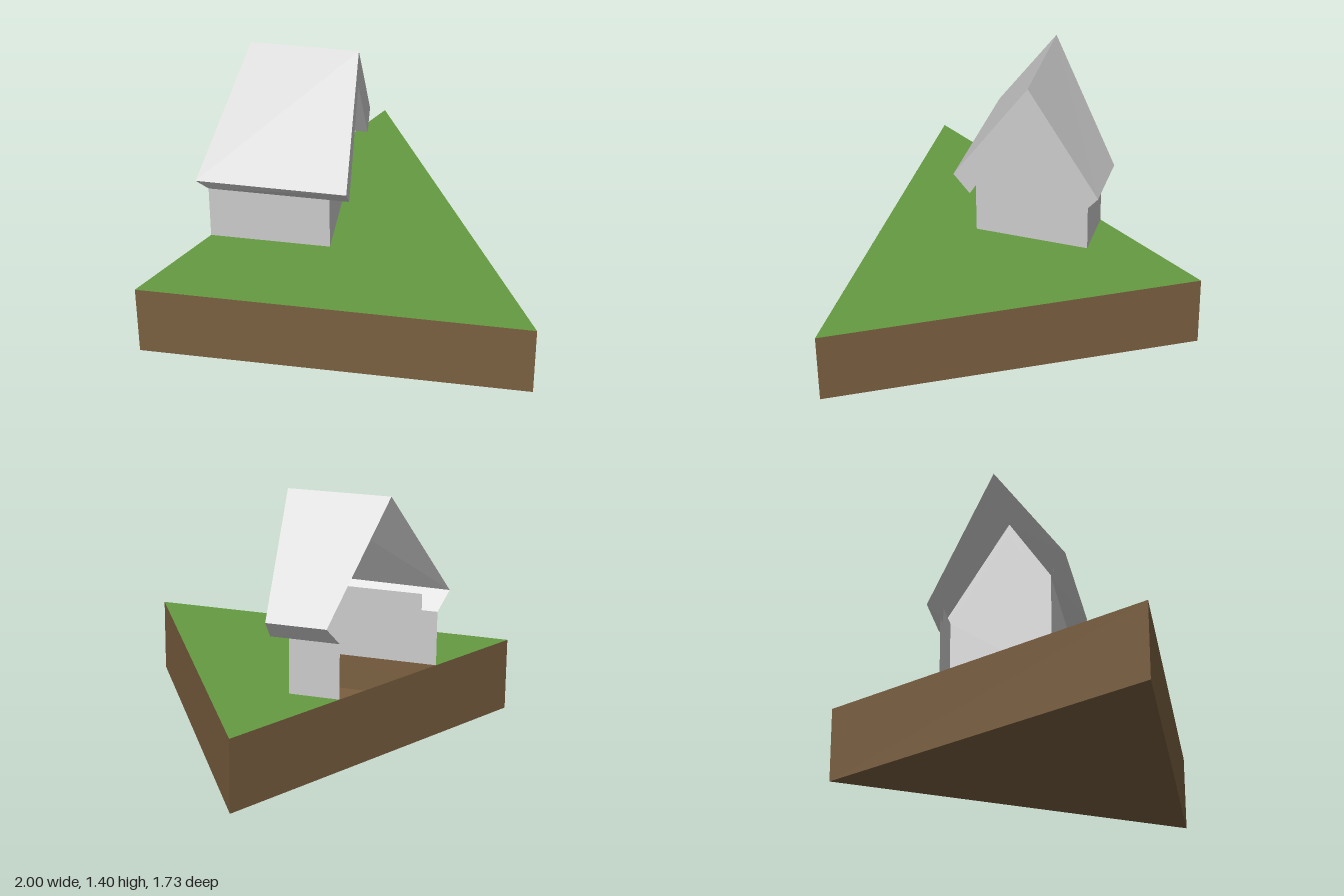
import * as THREE from 'three';

const FRONT = 0.38, BACK = -0.23, END = -0.1; // house footprint
const GROUND = 0.4, SOFFIT = 0.7, WALL_TOP = 0.79;

// x of the slanted side of the triangular plot, where the house is sliced open
const cutX = (z) => -(z + 0.866) / Math.sqrt(3);

const material = (color) =>
  new THREE.MeshStandardMaterial({ color, flatShading: true, side: THREE.DoubleSide });

// Flat convex polygons, each given as a loop of [x, y, z] corners
function faces(loops) {
  const pos = [];
  for (const loop of loops)
    for (let i = 1; i < loop.length - 1; i++) pos.push(...loop[0], ...loop[i], ...loop[i + 1]);
  const geometry = new THREE.BufferGeometry();
  geometry.setAttribute('position', new THREE.Float32BufferAttribute(pos, 3));
  geometry.computeVertexNormals();
  return geometry;
}

export function createModel() {
  const group = new THREE.Group();
  const grey = material(0xcccccc), soil = material(0x7a5f40), grass = material(0x659a42);
  const add = (name, geometry, mat) => {
    const mesh = new THREE.Mesh(geometry, mat);
    mesh.name = name;
    group.add(mesh);
  };

  // Hollow triangular plot: sides and underside
  const radius = 2 / Math.sqrt(3);
  const sides = new THREE.CylinderGeometry(radius, radius, GROUND, 3, 1, true, Math.PI);
  sides.translate(0, GROUND / 2, 0.2887);
  add('soilSides', sides, soil);
  add('soilUnderside', faces([[[0, 0, -0.866], [1, 0, 0.866], [-1, 0, 0.866]]]), soil);

  // Grass, left open under the house
  const outline = [
    [0, -0.866], [cutX(BACK), BACK], [END, BACK], [END, FRONT],
    [cutX(FRONT), FRONT], [-1, 0.866], [1, 0.866],
  ];
  const lawn = new THREE.ShapeGeometry(
    new THREE.Shape(outline.map(([x, z]) => new THREE.Vector2(x, -z))));
  lawn.rotateX(-Math.PI / 2).translate(0, GROUND, 0);
  add('grass', lawn, grass);

  // Long walls; their tops reach a little way up inside the roof
  const longWall = (z) => {
    const x = cutX(z), step = x + 0.085;
    return [
      [END, GROUND, z], [END, WALL_TOP, z], [step, WALL_TOP, z],
      [step, SOFFIT, z], [x, SOFFIT, z], [x, GROUND, z],
    ];
  };
  add('frontWall', faces([longWall(FRONT)]), grey);
  add('backWall', faces([longWall(BACK).reverse()]), grey);

  // Gable wall
  add('gableWall', faces([[
    [END, GROUND, FRONT], [END, GROUND, BACK], [END, WALL_TOP, BACK],
    [END, 1.28, 0.075], [END, WALL_TOP, FRONT],
  ]]), grey);

  // Roof shell: [z, y] sections at the cut and at the gable end, slightly skewed
  const cut = [[FRONT, SOFFIT], [0.457, 0.8], [0.07, 1.4], [-0.31, 0.8], [BACK, SOFFIT]]
    .map(([z, y]) => [cutX(z), y, z]);
  const end = [[FRONT, SOFFIT], [0.467, 0.805], [0.063, 1.397], [-0.31, 0.8], [BACK, SOFFIT]]
    .map(([z, y]) => [0, y, z]);
  const shell = [];
  for (let i = 0; i < 4; i++) shell.push([cut[i], end[i], end[i + 1]], [cut[i], end[i + 1], cut[i + 1]]);
  add('roofShell', faces(shell), grey);

  // Chevron end of the roof and the overhang's underside
  const [frontLow, frontEave, ridge, backEave, backLow] = end;
  const inner = [0, 1.2, 0.08];
  const atWall = ([, y, z]) => [END, y, z];
  add('roofEnd', faces([
    [frontLow, inner, ridge, frontEave],
    [inner, backLow, backEave, ridge],
  ]), grey);
  add('roofOverhang', faces([
    [frontLow, atWall(frontLow), atWall(inner), inner],
    [inner, atWall(inner), atWall(backLow), backLow],
  ]), grey);

  return group;
}
